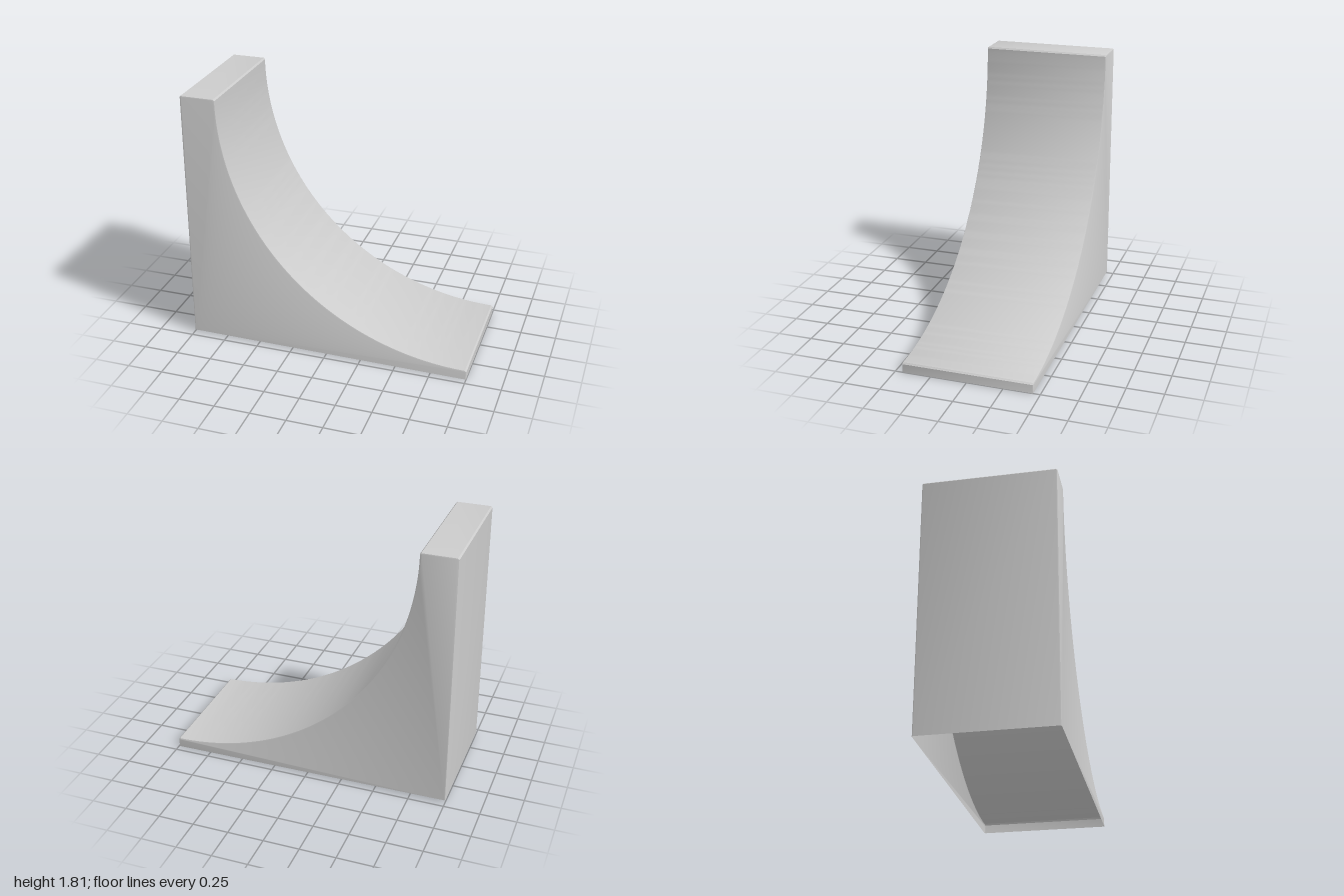
import * as THREE from 'three';
import { toCreasedNormals } from 'three/addons/utils/BufferGeometryUtils.js';

const WIDTH = 0.905;   // extent along z
const TOP = 1.81;
const ROUND = 0.01;    // softened edges
const RX = 1.75, RY = 1.74;

// height of the open lower rim, which rises slightly toward the tall end
const rimY = (x) => 0.0075 * (1 - x);

// side profile: deck, concave quarter curve, low lip, straight back
function rampProfile() {
  const a = 0.006;
  const s = new THREE.Shape();
  s.moveTo(-1, -0.03);
  s.lineTo(-1, TOP - ROUND);
  s.lineTo(-1 + ROUND, TOP);
  s.lineTo(-0.75 - ROUND, TOP);
  s.absellipse(1, TOP, RX, RY, Math.PI + a, Math.PI * 1.5 - a, false);
  s.lineTo(1, TOP - RY - ROUND);
  s.lineTo(1, -0.03);
  s.closePath();
  return s;
}

// drop every triangle lying below the rim and trim the walls to it
function openBottom(geometry) {
  const p = geometry.attributes.position;
  const kept = [];
  for (let i = 0; i < p.count; i += 3) {
    const corners = [0, 1, 2].map((k) => new THREE.Vector3().fromBufferAttribute(p, i + k));
    if (corners.every((v) => v.y < rimY(v.x))) continue;
    for (const v of corners) kept.push(v.setY(Math.max(v.y, rimY(v.x))));
  }
  return new THREE.BufferGeometry().setFromPoints(kept);
}

export function createModel() {
  const group = new THREE.Group();
  group.name = 'quarterPipeRamp';

  // hollow shell, open underneath
  const depth = WIDTH - 2 * ROUND;
  const solid = new THREE.ExtrudeGeometry(rampProfile(), {
    depth, curveSegments: 48, bevelEnabled: true, bevelSegments: 2,
    bevelSize: ROUND, bevelThickness: ROUND, bevelOffset: -ROUND,
  });
  solid.translate(0, 0, -depth / 2);
  const source = solid.index ? solid.toNonIndexed() : solid;
  const shell = new THREE.Mesh(
    toCreasedNormals(openBottom(source), 0.6),
    new THREE.MeshStandardMaterial({ color: 0xcccccc, side: THREE.DoubleSide })
  );
  shell.name = 'rampShell';
  group.add(shell);
  return group;
}
